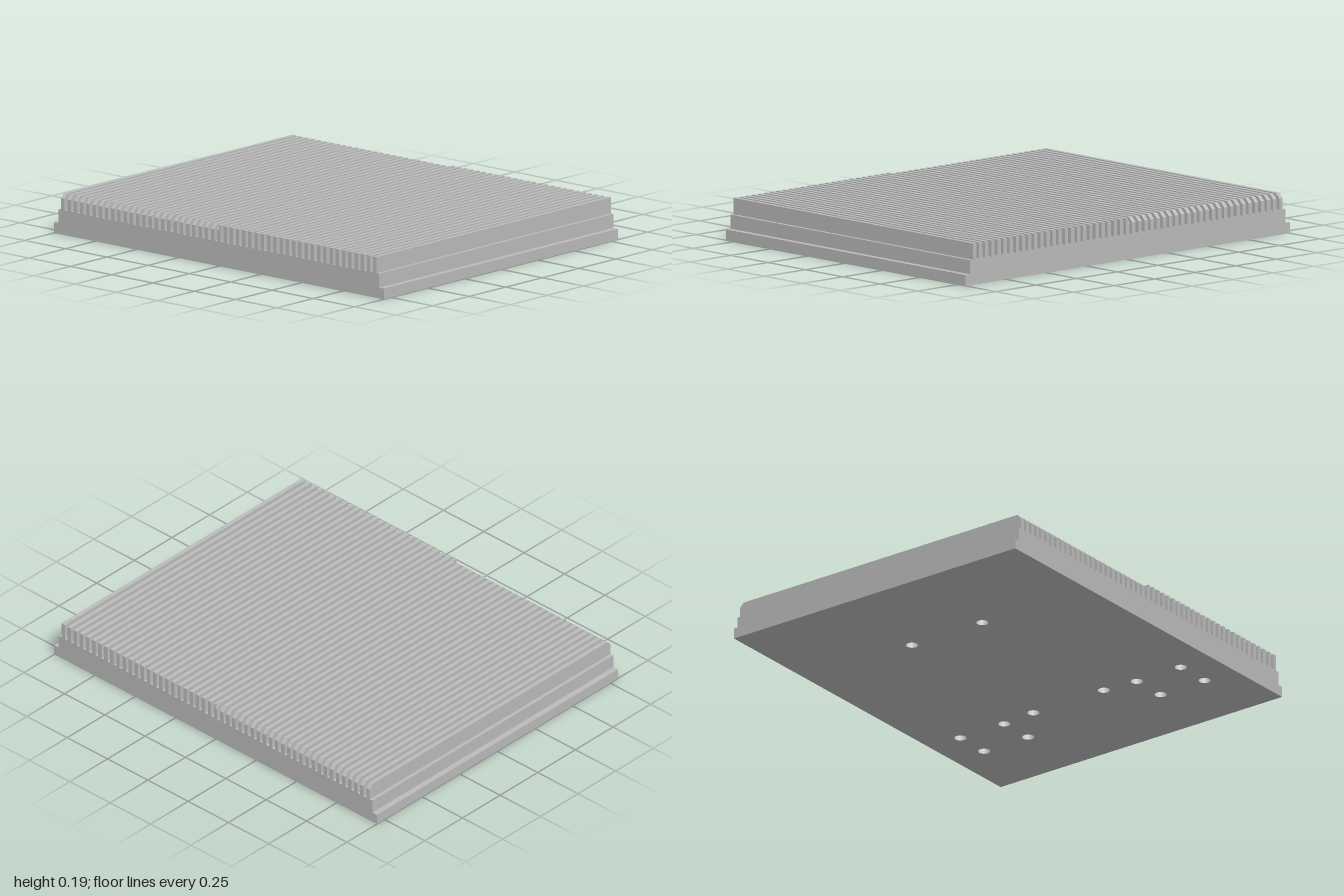
import * as THREE from 'three';

const HALF_Z = 0.8, FLANGE_TOP = 0.05, BLOCK_TOP = 0.115, FIN_TOP = 0.19;
const FIN_COUNT = 51, FIN_PITCH = 0.0378, FIN_WIDTH = 0.021, CHAMFER = 0.022;
const HOLE_R = 0.028;

// Mounting hole centres [x, z] on the underside, mirrored in z
const HOLES = [];
for (const s of [-1, 1]) {
  for (const [x, z] of [[0.648, 0.627], [0.47, 0.627], [0.648, 0.377], [0.47, 0.377], [0.455, 0.2], [-0.455, 0.2]]) {
    HOLES.push([x, s * z]);
  }
}

// Fin slab running along z, with its upper end corners cut by c
function finGeometry(width, c) {
  const pts = [[-HALF_Z, BLOCK_TOP], [HALF_Z, BLOCK_TOP]];
  if (c > 0) {
    pts.push([HALF_Z, FIN_TOP - c], [HALF_Z - c, FIN_TOP], [c - HALF_Z, FIN_TOP], [-HALF_Z, FIN_TOP - c]);
  } else {
    pts.push([HALF_Z, FIN_TOP], [-HALF_Z, FIN_TOP]);
  }
  const shape = new THREE.Shape(pts.map(([z, y]) => new THREE.Vector2(z, y)));
  const geo = new THREE.ExtrudeGeometry(shape, { depth: width, bevelEnabled: false });
  geo.translate(0, 0, -width / 2);
  geo.rotateY(Math.PI / 2);
  return geo;
}

export function createModel() {
  const aluminium = new THREE.MeshStandardMaterial({ color: 0xbababa });
  aluminium.name = 'aluminium';
  const boredMetal = new THREE.MeshStandardMaterial({ color: 0xdedede, side: THREE.BackSide });
  boredMetal.name = 'boredMetal';

  const model = new THREE.Group();
  model.name = 'heatSink';
  const add = (parent, name, geo, mat, x = 0, y = 0, z = 0) => {
    const mesh = new THREE.Mesh(geo, mat);
    mesh.name = name;
    mesh.position.set(x, y, z);
    parent.add(mesh);
    return mesh;
  };

  // Wide base flange, drilled from below
  const plate = new THREE.Shape([[-1, -HALF_Z], [1, -HALF_Z], [1, HALF_Z], [-1, HALF_Z]]
    .map(([x, z]) => new THREE.Vector2(x, z)));
  for (const [x, z] of HOLES) {
    const hole = new THREE.Path();
    hole.absarc(x, -z, HOLE_R, 0, Math.PI * 2, true);
    plate.holes.push(hole);
  }
  const flangeGeo = new THREE.ExtrudeGeometry(plate, { depth: FLANGE_TOP, bevelEnabled: false, curveSegments: 12 });
  flangeGeo.rotateX(-Math.PI / 2);
  add(model, 'baseFlange', flangeGeo, aluminium);

  // Hole linings
  const holes = new THREE.Group();
  holes.name = 'mountingHoles';
  model.add(holes);
  const liningGeo = new THREE.CylinderGeometry(HOLE_R - 0.001, HOLE_R - 0.001, FLANGE_TOP, 24, 1, true);
  for (const [x, z] of HOLES) add(holes, 'holeLining', liningGeo, boredMetal, x, FLANGE_TOP / 2, z);

  // Narrower solid block under the fins
  const blockHeight = BLOCK_TOP - FLANGE_TOP;
  add(model, 'baseBlock', new THREE.BoxGeometry(1.944, blockHeight, HALF_Z * 2), aluminium,
    0, FLANGE_TOP + blockHeight / 2, 0);

  // Fins: chamfered ends for x < 0, square ends for x > 0, the middle one half of each
  const fins = new THREE.Group();
  fins.name = 'fins';
  model.add(fins);
  const chamfered = finGeometry(FIN_WIDTH, CHAMFER);
  const square = finGeometry(FIN_WIDTH, 0);
  const middle = (FIN_COUNT - 1) / 2;
  for (let i = 0; i < FIN_COUNT; i++) {
    if (i === middle) continue;
    add(fins, 'fin', i < middle ? chamfered : square, aluminium, (i - middle) * FIN_PITCH);
  }
  add(fins, 'middleFinRight', finGeometry(FIN_WIDTH / 2, CHAMFER), aluminium, -FIN_WIDTH / 4);
  add(fins, 'middleFinLeft', finGeometry(FIN_WIDTH / 2, 0), aluminium, FIN_WIDTH / 4);

  return model;
}
